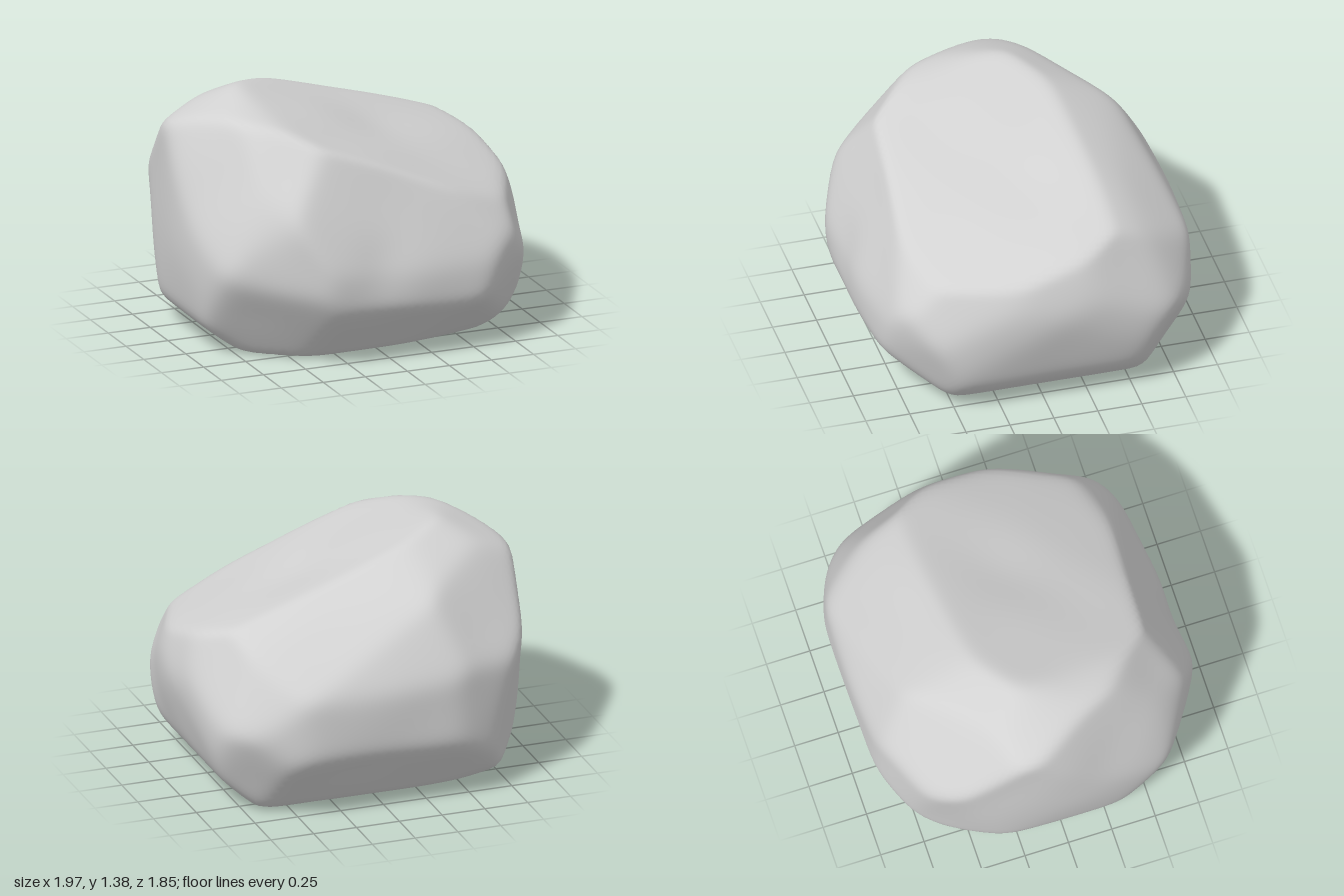
import * as THREE from 'three';
import { mergeVertices } from 'three/addons/utils/BufferGeometryUtils.js';

const CENTRE = new THREE.Vector3(0, 0.7, 0);

// Convex outlines that carve the stone, one per cutting direction (degrees).
// Points run clockwise as [across, up], measured from the centre.
const OUTLINES = [
  { turn: 0, tilt: 0, points: [
    [-0.52, 0.7], [0.86, 0.31], [1, -0.08], [0.86, -0.52], [0.66, -0.7],
    [-0.7, -0.7], [-0.92, -0.54], [-1, -0.1], [-0.95, 0.52]] },
  { turn: 90, tilt: 0, points: [
    [0.2, 0.7], [0.65, 0.53], [0.94, 0], [0.93, -0.3], [0.6, -0.7],
    [-0.58, -0.7], [-0.92, -0.34], [-0.94, 0.05], [-0.66, 0.54]] },
  { turn: 0, tilt: 90, points: [
    [-0.38, 0.92], [0.45, 0.94], [0.88, 0.77], [1, 0.05], [0.86, -0.64],
    [0.6, -0.84], [-0.37, -0.94], [-0.92, -0.6], [-1.01, -0.1], [-0.86, 0.68]] },
  { turn: 36, tilt: 25, points: [
    [-0.68, 0.74], [-0.375, 0.81], [0.14, 0.725], [0.94, 0.22], [1.13, -0.14],
    [1.03, -0.53], [0.23, -1], [-0.63, -0.8], [-1.1, -0.15]] },
  { turn: 216, tilt: 25, points: [
    [0.64, 0.6], [0.93, 0.3], [1.1, -0.14], [0.93, -0.66], [0.35, -0.96],
    [-0.12, -0.94], [-0.88, -0.68], [-1.13, -0.2], [-0.83, 0.37]] },
  { turn: 144, tilt: -28, points: [
    [-0.45, 0.635], [0.04, 0.635], [0.65, 0.57], [1.05, 0.1], [0.93, -0.625],
    [0.35, -1], [-0.18, -0.97], [-0.93, -0.53], [-1.06, -0.2], [-0.8, 0.38]] },
];

// Broad single facets: turn and tilt of the normal (degrees), distance from the centre
const FACETS = [
  [64, 70, 0.456],   // sloping top
  [-62, 72, 0.812],  // top beside the peak
  [-146, 37, 0.888], // back shoulder
  [-27, 37, 0.94],   // front shoulder
  [30, 38, 0.747],   // low front shoulder
  [6, 24, 0.746],    // front, upper
  [-6, -17, 1.002],  // front, lower
];

// Shallow hollows in the top and the front
const HOLLOWS = [
  { at: new THREE.Vector3(0.25, 1.1, 0.1), radius: 0.35, depth: 0.02 },
  { at: new THREE.Vector3(-0.1, 0.55, 0.88), radius: 0.18, depth: 0.025 },
];

// Unit vector pointing along a turn about y and a tilt above the horizon
function direction(turn, tilt) {
  const a = THREE.MathUtils.degToRad(turn);
  const e = THREE.MathUtils.degToRad(tilt);
  return new THREE.Vector3(Math.sin(a) * Math.cos(e), Math.sin(e), Math.cos(a) * Math.cos(e));
}

// Each outline edge becomes one facet, parallel to the cutting direction
function outlineFacets({ turn, tilt, points }) {
  const across = direction(turn + 90, 0);
  const up = direction(turn, tilt + 90);
  return points.map(([u, v], i) => {
    const [u2, v2] = points[(i + 1) % points.length];
    const length = Math.hypot(u2 - u, v2 - v);
    const nu = (v - v2) / length;
    const nv = (u2 - u) / length;
    return {
      normal: across.clone().multiplyScalar(nu).addScaledVector(up, nv),
      distance: nu * u + nv * v,
    };
  });
}

function boulderGeometry() {
  const facets = OUTLINES.flatMap(outlineFacets);
  for (const [turn, tilt, distance] of FACETS) {
    facets.push({ normal: direction(turn, tilt), distance });
  }

  let geometry = new THREE.IcosahedronGeometry(1, 34);
  geometry.deleteAttribute('uv');
  geometry.deleteAttribute('normal');
  geometry = mergeVertices(geometry, 1e-5);

  const pos = geometry.attributes.position;
  const dir = new THREE.Vector3();
  const p = new THREE.Vector3();
  const sharpness = 50;
  const margin = 0.012; // makes up for the rounding of the edges
  for (let i = 0; i < pos.count; i++) {
    dir.fromBufferAttribute(pos, i).normalize();
    // Push each point out to the facets, rounding the edges between them
    let sum = 0;
    for (const f of facets) {
      sum += Math.max(0, dir.dot(f.normal) / (f.distance + margin)) ** sharpness;
    }
    p.copy(dir).multiplyScalar(sum ** (-1 / sharpness)).add(CENTRE);
    // Weathered hollows and gentle bumps, fading out at the flat base
    let offset = 0.006 * Math.sin(7 * p.x + 2 * p.y) * Math.sin(6 * p.y - 3 * p.z + 1) * Math.cos(7 * p.z + p.x);
    for (const h of HOLLOWS) offset -= h.depth * Math.exp(-p.distanceToSquared(h.at) / h.radius ** 2);
    p.addScaledVector(dir, offset * THREE.MathUtils.smoothstep(p.y, 0.02, 0.3));
    pos.setXYZ(i, p.x, Math.max(0, p.y), p.z);
  }
  geometry.computeVertexNormals();
  return geometry;
}

export function createModel() {
  const stone = new THREE.MeshStandardMaterial({ color: 0xd2d2d2 });
  stone.name = 'stone grey';

  const boulder = new THREE.Mesh(boulderGeometry(), stone);
  boulder.name = 'boulder';

  const model = new THREE.Group();
  model.name = 'rock';
  model.add(boulder);
  return model;
}
